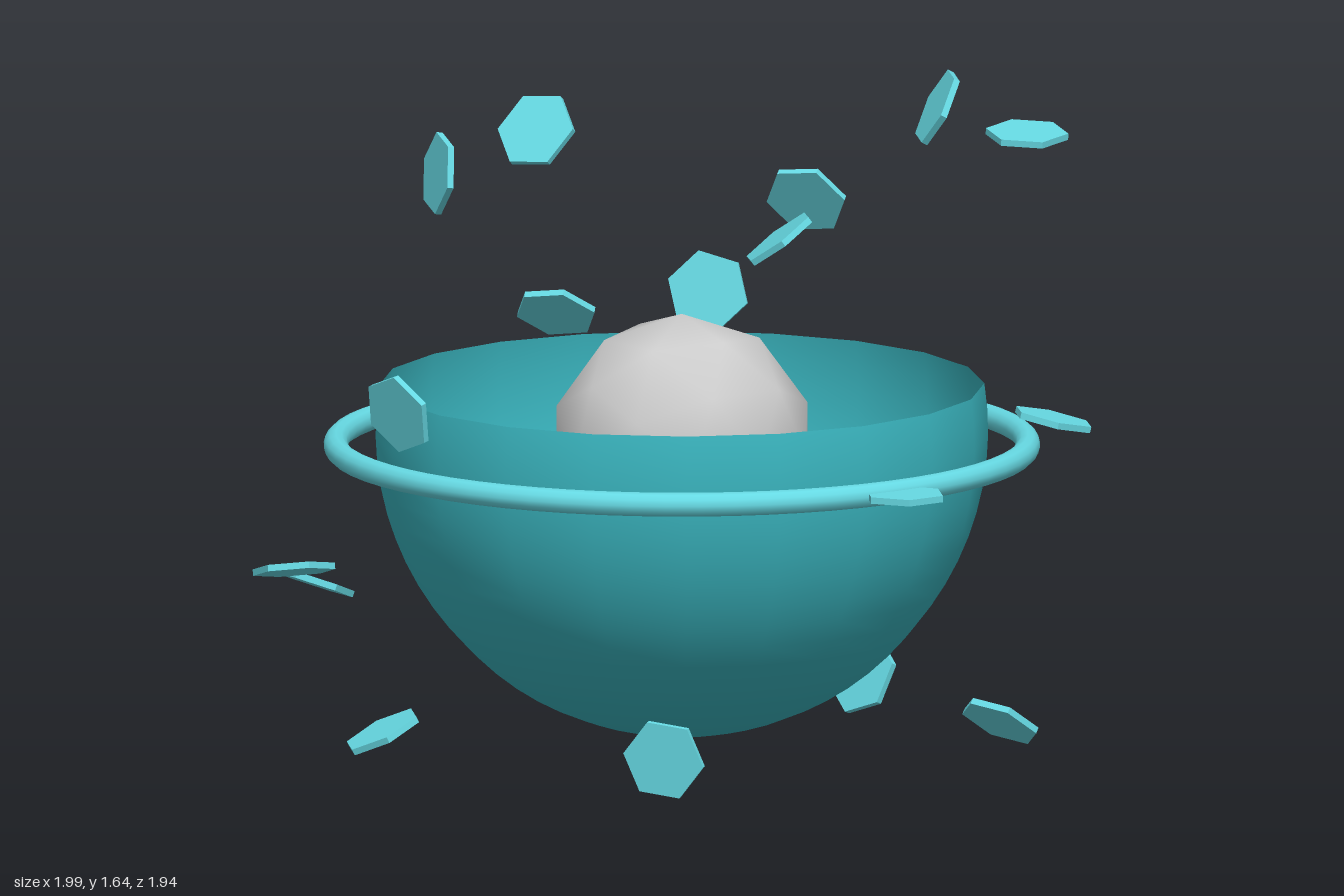
import * as THREE from 'three';

const CENTER_X = 0.053;

// Hexagonal chips: position, face normal, spin in degrees about the normal
const CHIPS = [
  { p: [-0.505, 1.37, 0], n: [0.35, 0.55, 0.75] },
  { p: [-0.23, 1.36, 0.487], n: [-0.32, 0.13, 0.94] },
  { p: [0.21, 1.37, -0.875], n: [0.11, 0.99, 0.05], spin: 15 },
  { p: [0.71, 1.57, -0.243], n: [-0.4, 0.45, 0.8] },
  { p: [0.777, 1.325, 0.262], n: [-0.35, 0.8, 0.48] },
  { p: [-0.31, 1.17, -0.63], n: [-0.5, 0.5, -0.7] },
  { p: [0.425, 1.145, 0.64], n: [-0.42, 0.75, -0.5] },
  { p: [-0.785, 0.88, -0.703], n: [0.7, 0.2, 0.68] },
  { p: [0.22, 0.91, 0.94], n: [0.15, -0.25, 0.95] },
  { p: [-0.905, 0.295, 0.34], n: [0.03, 0.93, -0.36], spin: 25 },
  { p: [-0.655, 0.385, 0.585], n: [-0.25, 0.96, -0.1], spin: 15 },
  { p: [-0.61, 0.1, -0.255], n: [0.68, 0.68, -0.25] },
  { p: [-0.08, 0.105, 0.76], n: [-0.2, 0.89, 0.4] },
  { p: [-0.055, 0.1, -0.6], n: [0.15, 0.37, 0.92] },
  { p: [0.58, 0.1, 0.446], n: [0.6, -0.08, 0.78] },
  { p: [0.635, 0.1, -0.48], n: [-0.15, 0.8, -0.57] },
  { p: [0.484, 0.755, -0.745], n: [0.1, 0.97, -0.2] },
  { p: [0.908, 0.715, 0], n: [0, 1, 0] },
];

export function createModel() {
  const model = new THREE.Group();
  const add = (name, geometry, material, x, y, z, parent = model) => {
    const mesh = new THREE.Mesh(geometry, material);
    mesh.name = name;
    mesh.position.set(x, y, z);
    parent.add(mesh);
    return mesh;
  };

  const grey = new THREE.MeshStandardMaterial({ color: 0xcccccc });
  const teal = new THREE.MeshStandardMaterial({ color: 0x3ab5bf, side: THREE.DoubleSide });
  const aqua = new THREE.MeshStandardMaterial({ color: 0x66d9e3 });
  const aquaFlat = new THREE.MeshStandardMaterial({ color: 0x66d9e3, flatShading: true });

  // Open bowl: sphere cut slightly above its equator
  const cut = Math.PI * 0.45;
  add('bowl', new THREE.SphereGeometry(0.705, 20, 20, 0, Math.PI * 2, cut, Math.PI - cut),
    teal, CENTER_X, 0.746, 0);

  // Faceted core with smooth shading
  add('core', new THREE.IcosahedronGeometry(0.305, 1), grey, CENTER_X, 0.715, 0);

  // Ring around the bowl
  const ring = add('ring', new THREE.TorusGeometry(0.797, 0.028, 12, 64), aqua, CENTER_X, 0.715, 0);
  ring.rotation.x = Math.PI / 2;

  // Floating chips
  const chips = new THREE.Group();
  chips.name = 'floatingChips';
  model.add(chips);
  const chipGeometry = new THREE.CylinderGeometry(0.096, 0.096, 0.015, 6);
  const up = new THREE.Vector3(0, 1, 0);
  CHIPS.forEach(({ p, n, spin = 0 }, i) => {
    const chip = add(`chip${i + 1}`, chipGeometry, aquaFlat, ...p, chips);
    chip.quaternion.setFromUnitVectors(up, new THREE.Vector3(...n).normalize());
    chip.rotateY(THREE.MathUtils.degToRad(spin));
  });

  return model;
}
